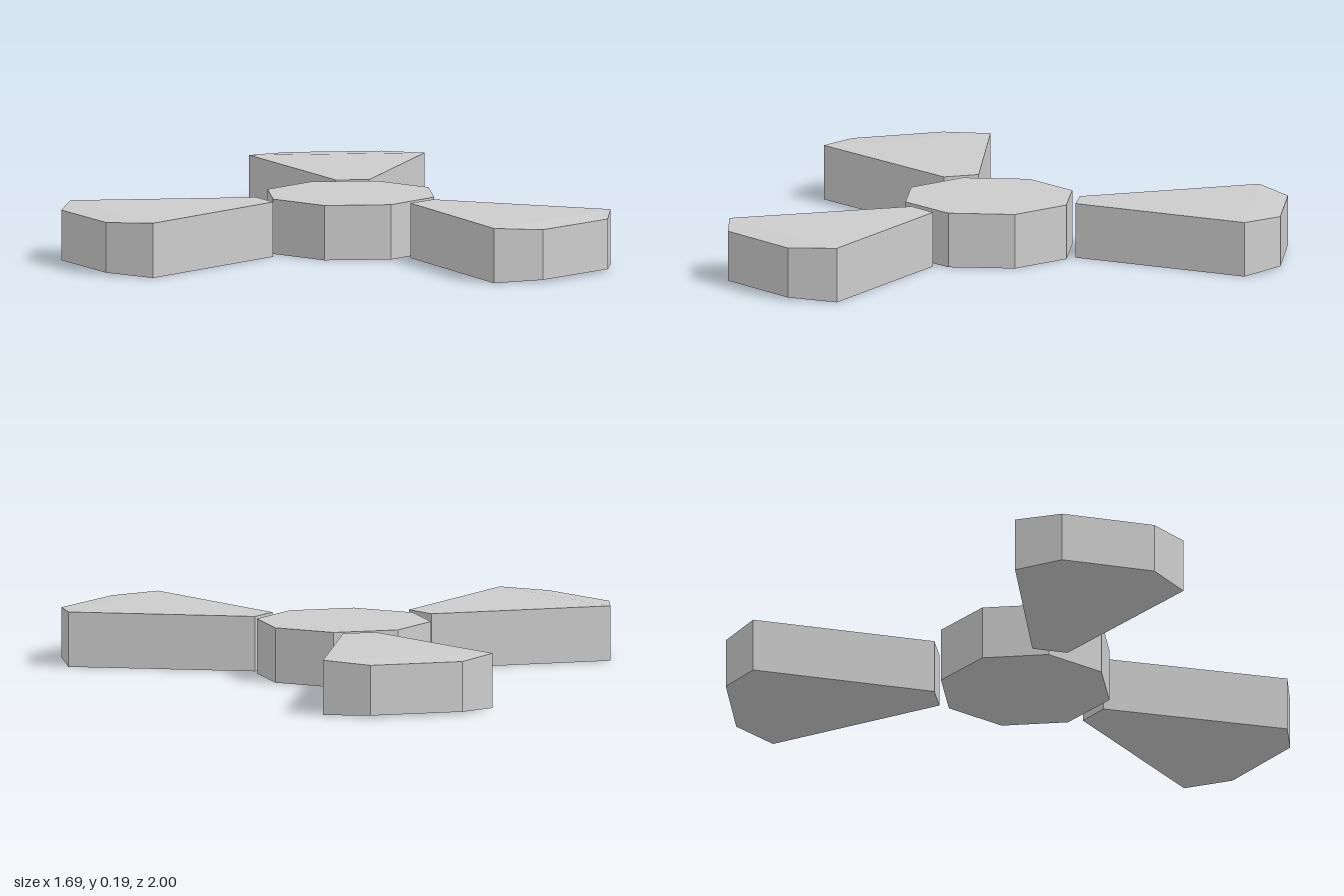
import * as THREE from 'three';

const HEIGHT = 0.19;
const TIP_INSET = 0.008; // the two outermost corners are slightly thinner

// Outlines as [x, z], counter-clockwise from above:
// root, shoulder, tip, tip, shoulder, root
const BLADES = {
  rightBlade: [[-0.14, -0.075], [-0.74, -0.305], [-0.846, -0.167], [-0.843, 0.162], [-0.732, 0.297], [-0.14, 0.05]],
  backLeftBlade: [[0.39, -0.257], [0.845, -0.722], [0.76, -0.877], [0.455, -1], [0.285, -0.95], [0.285, -0.305]],
  frontLeftBlade: [[0.265, 0.292], [0.25, 0.943], [0.41, 0.998], [0.722, 0.88], [0.81, 0.732], [0.375, 0.25]],
};

// Prism with thinned tip corners; caps fold between the shoulders
function bladeGeometry(outline) {
  const inset = (i) => (i === 2 || i === 3 ? TIP_INSET : 0);
  const top = outline.map(([x, z], i) => [x, HEIGHT - inset(i), z]);
  const bottom = outline.map(([x, z], i) => [x, inset(i), z]);
  const positions = [];
  const triangle = (a, b, c) => positions.push(...a, ...b, ...c);
  const n = outline.length;
  for (let k = 1; k < n - 1; k++) {
    const i = (1 + k) % n, j = (2 + k) % n;
    triangle(top[1], top[i], top[j]);
    triangle(bottom[1], bottom[j], bottom[i]);
  }
  for (let i = 0; i < n; i++) {
    const j = (i + 1) % n;
    triangle(bottom[i], bottom[j], top[j]);
    triangle(bottom[i], top[j], top[i]);
  }
  const geometry = new THREE.BufferGeometry();
  geometry.setAttribute('position', new THREE.Float32BufferAttribute(positions, 3));
  geometry.computeVertexNormals();
  return geometry;
}

export function createModel() {
  const group = new THREE.Group();
  group.name = 'threeBladedRotor';
  const material = new THREE.MeshStandardMaterial({ color: 0xcccccc, flatShading: true });

  // Octagonal hub
  const hub = new THREE.Mesh(new THREE.CylinderGeometry(0.3, 0.3, HEIGHT, 8), material);
  hub.name = 'hub';
  hub.position.set(0.19, HEIGHT / 2, -0.008);
  group.add(hub);

  // Three separate flared blades
  for (const [name, outline] of Object.entries(BLADES)) {
    const blade = new THREE.Mesh(bladeGeometry(outline), material);
    blade.name = name;
    group.add(blade);
  }
  return group;
}
